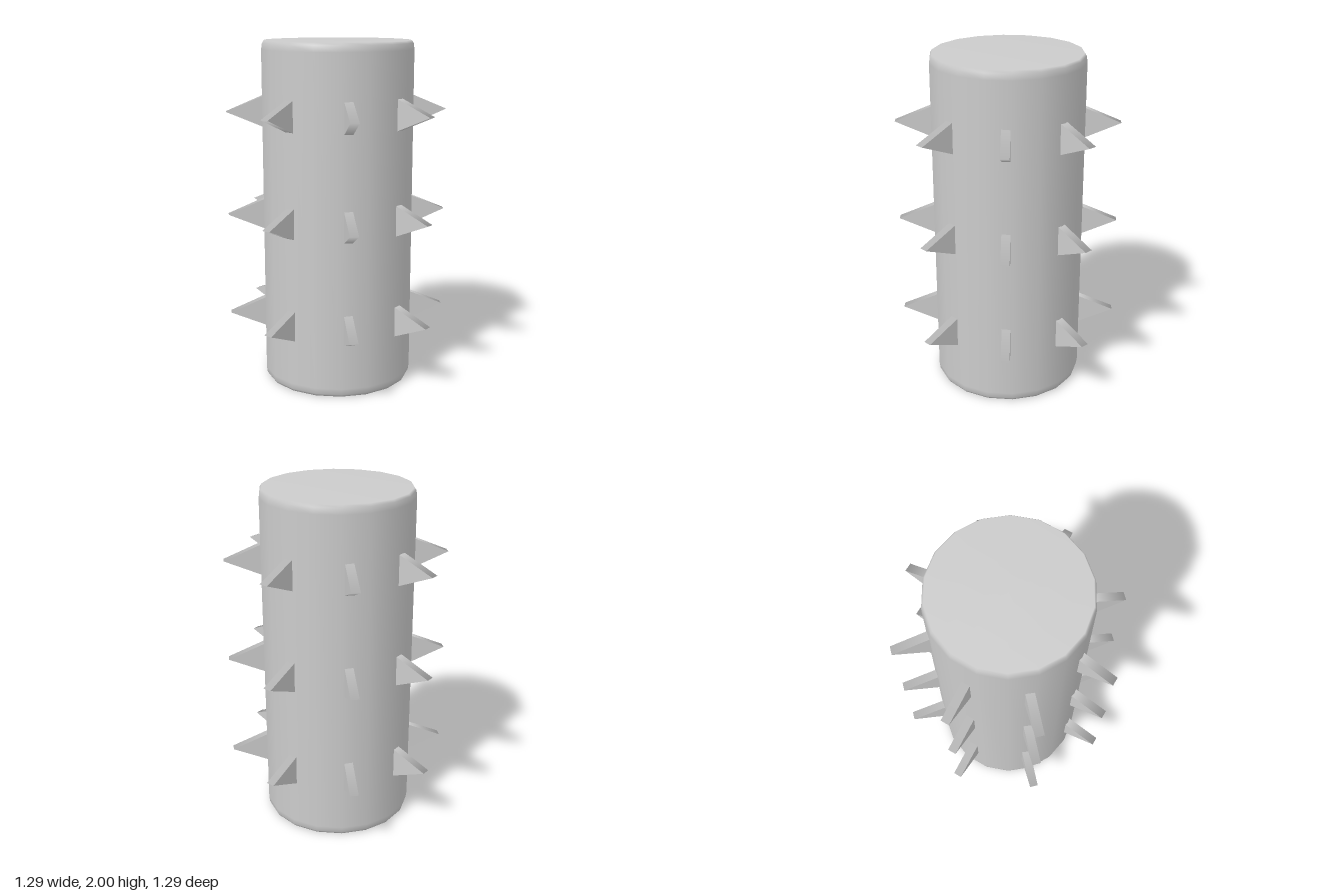
import * as THREE from 'three';

const material = new THREE.MeshStandardMaterial({ color: 0xcccccc });

// Eighteen-sided drum with softly chamfered rims
function makeDrum() {
  const rim = [[0.44, 0.05], [0.435, 0.015], [0.425, 0], [0, 0]];
  const bottom = [...rim].reverse().map(([r, y]) => new THREE.Vector2(r, y));
  const top = rim.map(([r, y]) => new THREE.Vector2(r, 2 - y));
  const drum = new THREE.Mesh(
    new THREE.LatheGeometry([...bottom, ...top], 18, Math.PI / 2), material);
  drum.name = 'drum';
  return drum;
}

// Upright triangular wedge pointing along +z, its base just inside the drum
function makeSpikeGeometry() {
  const base = 0.425, tip = 0.643, halfHeight = 0.092, thickness = 0.05;
  const length = tip - base;
  const geometry = new THREE.CylinderGeometry(1, 1, thickness, 3);
  geometry.rotateZ(Math.PI / 2);
  geometry.scale(1, halfHeight / (Math.sqrt(3) / 2), length / 1.5);
  geometry.translate(0, 0, base + length / 3);
  return geometry;
}

export function createModel() {
  const group = new THREE.Group();
  group.name = 'spikedDrum';
  group.add(makeDrum());

  // Three rings of eight spikes
  const spikeGeometry = makeSpikeGeometry();
  [0.4, 1, 1.6].forEach((y, level) => {
    const ring = new THREE.Group();
    ring.name = `spikeRing${level + 1}`;
    ring.position.y = y;
    for (let i = 0; i < 8; i++) {
      const spike = new THREE.Mesh(spikeGeometry, material);
      spike.name = `spike${i + 1}`;
      spike.rotation.y = (i * Math.PI) / 4;
      ring.add(spike);
    }
    group.add(ring);
  });
  return group;
}
